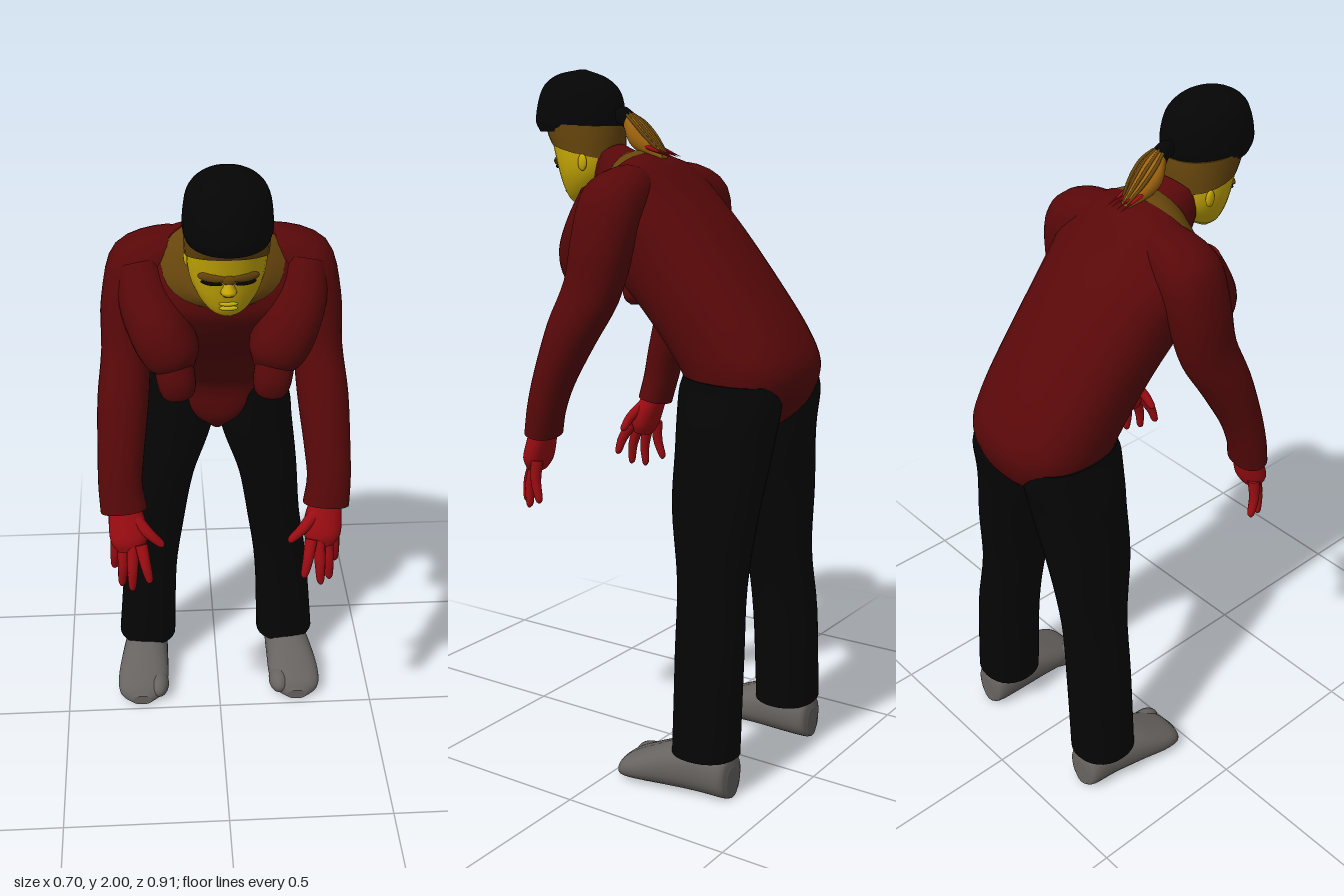
import * as THREE from 'three';

const V = (x, y, z) => new THREE.Vector3(x, y, z);
const mat = (name, color) => {
  const m = new THREE.MeshStandardMaterial({ color });
  m.name = name;
  return m;
};

// Smooth closed skin over rings; each ring is { c: centre, u, v: half axes }.
function loft(rings, power = 2.2, sides = 28, steps = 4) {
  const curve = (k) => new THREE.CatmullRomCurve3(rings.map((r) => r[k]), false, 'catmullrom', 0.5);
  const [cc, cu, cv] = ['c', 'u', 'v'].map(curve);
  const n = (rings.length - 1) * steps;
  const pos = [], idx = [];
  const bend = (a) => Math.sign(a) * Math.pow(Math.abs(a), 2 / power);
  const addRing = (t) => {
    const c = cc.getPoint(t), u = cu.getPoint(t), v = cv.getPoint(t);
    for (let j = 0; j < sides; j++) {
      const a = (j / sides) * Math.PI * 2;
      const p = c.clone().addScaledVector(u, bend(Math.cos(a))).addScaledVector(v, bend(Math.sin(a)));
      pos.push(p.x, p.y, p.z);
    }
    return c;
  };
  for (let i = 0; i <= n; i++) addRing(i / n);
  for (let i = 0; i < n; i++) {
    for (let j = 0; j < sides; j++) {
      const a = i * sides + j, b = i * sides + ((j + 1) % sides);
      idx.push(a, b, a + sides, b, b + sides, a + sides);
    }
  }
  // Flat end caps on their own vertices
  for (const end of [0, 1]) {
    const start = pos.length / 3;
    const c = addRing(end);
    pos.push(c.x, c.y, c.z);
    for (let j = 0; j < sides; j++) {
      const a = start + j, b = start + ((j + 1) % sides);
      if (end) idx.push(a, b, start + sides);
      else idx.push(b, a, start + sides);
    }
  }
  // Turn the faces outward when the enclosed volume is negative
  const at = (i) => V(pos[i * 3], pos[i * 3 + 1], pos[i * 3 + 2]);
  let volume = 0;
  for (let i = 0; i < idx.length; i += 3) volume += at(idx[i]).dot(at(idx[i + 1]).cross(at(idx[i + 2])));
  if (volume < 0) idx.reverse();
  const g = new THREE.BufferGeometry();
  g.setAttribute('position', new THREE.Float32BufferAttribute(pos, 3));
  g.setIndex(idx);
  g.computeVertexNormals();
  return g;
}

// Central body rings: [front z, front y, back z, back y, half width]
const spine = (list) => list.map(([zf, yf, zb, yb, w]) => ({
  c: V(0, (yf + yb) / 2, (zf + zb) / 2), u: V(w, 0, 0), v: V(0, (yf - yb) / 2, (zf - zb) / 2),
}));

// Limb rings square to their path: [x, y, z, half width, half depth]
const limb = (list, s) => {
  const pts = list.map(([x, y, z]) => V(x * s, y, z));
  return list.map(([, , , w, d], i) => {
    const t = pts[Math.min(i + 1, pts.length - 1)].clone().sub(pts[Math.max(i - 1, 0)]).normalize();
    const u = t.clone().cross(V(0, 0, 1)).normalize();
    const v = u.clone().cross(t);
    return { c: pts[i], u: u.multiplyScalar(w), v: v.multiplyScalar(d) };
  });
};

export function createModel() {
  const model = new THREE.Group();
  const red = mat('sweaterRed', 0x580809);
  const gloveRed = mat('gloveRed', 0x9a0c12);
  const black = mat('black', 0x050505);
  const grey = mat('shoeGrey', 0x676360);
  const skin = mat('faceYellow', 0xc8aa06);
  const brown = mat('collarBrown', 0x66450c);
  const amber = mat('ponytailAmber', 0x9c620d);

  const add = (name, geometry, material) => {
    const m = new THREE.Mesh(geometry, material);
    m.name = name;
    model.add(m);
    return m;
  };
  const ball = (name, material, p, r) => {
    const m = add(name, new THREE.SphereGeometry(1, 24, 16), material);
    m.position.set(...p);
    m.scale.set(...r);
    return m;
  };

  // Torso bent forward, with collar and neck
  add('sweater', loft(spine([
    [-0.16, 0.995, -0.3, 1.0, 0.025], [-0.122, 1.04, -0.36, 1.03, 0.085], [-0.112, 1.09, -0.405, 1.07, 0.155],
    [-0.108, 1.14, -0.438, 1.12, 0.186], [-0.09, 1.19, -0.452, 1.2, 0.204], [-0.02, 1.28, -0.41, 1.29, 0.21],
    [0.05, 1.36, -0.31, 1.42, 0.216], [0.13, 1.44, -0.19, 1.56, 0.226], [0.17, 1.5, -0.08, 1.665, 0.245],
    [0.19, 1.54, 0, 1.74, 0.235], [0.195, 1.575, 0.06, 1.768, 0.16],
  ]), 2.4, 40), red);
  add('collar', loft(spine([
    [0.195, 1.573, 0.058, 1.769, 0.162], [0.21, 1.595, 0.085, 1.776, 0.125], [0.21, 1.62, 0.12, 1.772, 0.086],
  ])), brown);
  add('neck', loft(spine([
    [0.21, 1.61, 0.11, 1.765, 0.085], [0.235, 1.64, 0.135, 1.775, 0.073], [0.26, 1.7, 0.17, 1.79, 0.066],
  ])), red);

  // Head, headband and hair cap
  add('face', loft(spine([
    [0.315, 1.61, 0.27, 1.625, 0.025], [0.34, 1.63, 0.22, 1.66, 0.058], [0.357, 1.67, 0.19, 1.7, 0.083],
    [0.37, 1.72, 0.18, 1.74, 0.097], [0.388, 1.79, 0.18, 1.79, 0.102], [0.4, 1.84, 0.185, 1.84, 0.104],
  ]), 2.1), skin);
  add('headband', loft(spine([
    [0.392, 1.797, 0.176, 1.745, 0.105], [0.406, 1.82, 0.175, 1.8, 0.107], [0.415, 1.85, 0.178, 1.84, 0.108],
  ]), 2.1), brown);
  add('hairCap', loft(spine([
    [0.44, 1.825, 0.185, 1.825, 0.103], [0.455, 1.86, 0.174, 1.87, 0.111], [0.432, 1.945, 0.188, 1.935, 0.1],
    [0.385, 1.985, 0.23, 1.975, 0.066], [0.315, 2.0, 0.295, 2.0, 0.008],
  ]), 2.05), black);
  add('nose', loft(spine([
    [0.374, 1.75, 0.34, 1.75, 0.01], [0.384, 1.72, 0.345, 1.72, 0.014],
    [0.39, 1.703, 0.34, 1.7, 0.02], [0.37, 1.688, 0.34, 1.688, 0.014],
  ]), 2, 16), skin);
  ball('noseBridge', brown, [0, 1.738, 0.374], [0.018, 0.014, 0.008]);
  for (const y of [1.665, 1.653]) ball('lip', skin, [0, y, 0.354], [0.024, 0.006, 0.008]);

  // Ponytail: dark root, full middle with brown strands, red tips
  add('ponytailRoot', loft(spine([
    [0.2, 1.85, 0.18, 1.89, 0.016], [0.165, 1.845, 0.155, 1.895, 0.018], [0.14, 1.82, 0.13, 1.88, 0.026],
  ])), black);
  add('ponytail', loft(spine([
    [0.145, 1.825, 0.135, 1.88, 0.024], [0.12, 1.785, 0.1, 1.855, 0.043],
    [0.08, 1.76, 0.06, 1.815, 0.038], [0.02, 1.745, 0.015, 1.768, 0.014],
  ])), amber);
  for (const x of [-0.022, -0.007, 0.01, 0.024]) {
    const drop = Math.abs(x) * 0.35;
    add('ponytailStrand', loft(limb([
      [x * 0.8, 1.88 - drop, 0.134, 0.004, 0.004], [x * 1.3, 1.856 - drop, 0.1, 0.005, 0.005],
      [x * 1.2, 1.817 - drop, 0.06, 0.005, 0.005], [x * 0.5, 1.77 - drop, 0.016, 0.003, 0.003],
    ], 1), 2, 8), brown);
    const tip = add('ponytailTip', new THREE.ConeGeometry(0.01, 0.11, 8), gloveRed);
    tip.position.set(x * 1.15, 1.774, 0.03);
    tip.rotation.x = -1.9;
  }

  for (const s of [1, -1]) {
    const side = s > 0 ? 'left' : 'right';
    const addLimb = (name, list, material, power, sides) =>
      add(side + name, loft(limb(list, s), power, sides), material);

    // Eyes, brows and ears
    ball(side + 'Brow', brown, [0.042 * s, 1.742, 0.365], [0.036, 0.013, 0.007]).rotation.y = 0.35 * s;
    ball(side + 'Eye', black, [0.042 * s, 1.726, 0.362], [0.028, 0.007, 0.007]).rotation.y = 0.35 * s;
    ball(side + 'Ear', skin, [0.098 * s, 1.74, 0.235], [0.008, 0.024, 0.015]);

    // Chest tapering down from the shoulder, with a rounded stub under it
    addLimb('Breast', [
      [0.215, 1.65, 0.07, 0.06, 0.07], [0.2, 1.57, 0.11, 0.077, 0.083], [0.165, 1.49, 0.155, 0.083, 0.092],
      [0.137, 1.43, 0.174, 0.076, 0.078], [0.124, 1.39, 0.174, 0.05, 0.045],
    ], red);
    addLimb('ChestStub', [
      [0.14, 1.44, 0.18, 0.052, 0.05], [0.129, 1.37, 0.2, 0.052, 0.047],
      [0.124, 1.33, 0.198, 0.045, 0.04], [0.122, 1.312, 0.195, 0.025, 0.022],
    ], red);

    // Sleeve, starting inside the shoulder
    addLimb('Sleeve', [
      [0.04, 1.66, 0.06, 0.05, 0.05], [0.13, 1.66, 0.045, 0.08, 0.078], [0.212, 1.627, 0.043, 0.091, 0.094],
      [0.247, 1.53, 0.055, 0.077, 0.092], [0.26, 1.4, 0.085, 0.068, 0.084], [0.273, 1.28, 0.145, 0.07, 0.072],
      [0.284, 1.15, 0.2, 0.064, 0.056], [0.289, 1.06, 0.227, 0.061, 0.05], [0.282, 0.985, 0.245, 0.065, 0.046],
    ], red);

    // Hand with spread fingers, each from knuckle to tip
    addLimb('Palm', [
      [0.282, 1.0, 0.245, 0.042, 0.034], [0.274, 0.95, 0.262, 0.052, 0.036],
      [0.27, 0.905, 0.277, 0.052, 0.036], [0.268, 0.875, 0.284, 0.036, 0.025],
    ], gloveRed);
    const fingers = [
      ['Thumb', [0.25, 0.97, 0.27], [0.175, 0.895, 0.302]],
      ['IndexFinger', [0.237, 0.905, 0.305], [0.215, 0.805, 0.35]],
      ['MiddleFinger', [0.26, 0.895, 0.295], [0.266, 0.765, 0.33]],
      ['RingFinger', [0.285, 0.895, 0.275], [0.295, 0.757, 0.295]],
      ['LittleFinger', [0.304, 0.905, 0.255], [0.316, 0.782, 0.24]],
    ];
    for (const [name, a, b] of fingers) {
      const on = (t, r, out = 0) => [...a.map((k, i) => k + (b[i] - k) * t + (i === 2 ? out : 0)), r, r];
      addLimb(name, [on(0, 0.018), on(0.5, 0.015, 0.008), on(0.9, 0.011), on(1, 0.004)], gloveRed, 2, 12);
    }

    // Trouser leg
    addLimb('TrouserLeg', [
      [0.113, 1.17, -0.275, 0.09, 0.14], [0.11, 1.12, -0.273, 0.1, 0.152], [0.117, 1.03, -0.265, 0.114, 0.143],
      [0.13, 0.95, -0.262, 0.109, 0.137], [0.163, 0.8, -0.26, 0.093, 0.126], [0.188, 0.6, -0.268, 0.084, 0.1],
      [0.216, 0.4, -0.278, 0.086, 0.098], [0.234, 0.12, -0.281, 0.094, 0.094],
    ], black, 2.2);

    // Shoe, lofted from heel to toe: [x, z, half width, height]
    add(side + 'Shoe', loft([
      [0.235, -0.37, 0.03, 0.09], [0.235, -0.355, 0.058, 0.13], [0.237, -0.28, 0.068, 0.145],
      [0.245, -0.19, 0.077, 0.13], [0.253, -0.1, 0.083, 0.092], [0.258, -0.045, 0.07, 0.064],
      [0.258, -0.02, 0.032, 0.035],
    ].map(([x, z, w, h]) => ({ c: V(x * s, 0.005 + h / 2, z), u: V(w, 0, 0), v: V(0, h / 2, 0) })), 2.3), grey);
    ball(side + 'BigToe', grey, [0.202 * s, 0.043, -0.08], [0.034, 0.038, 0.055]);
  }
  return model;
}
